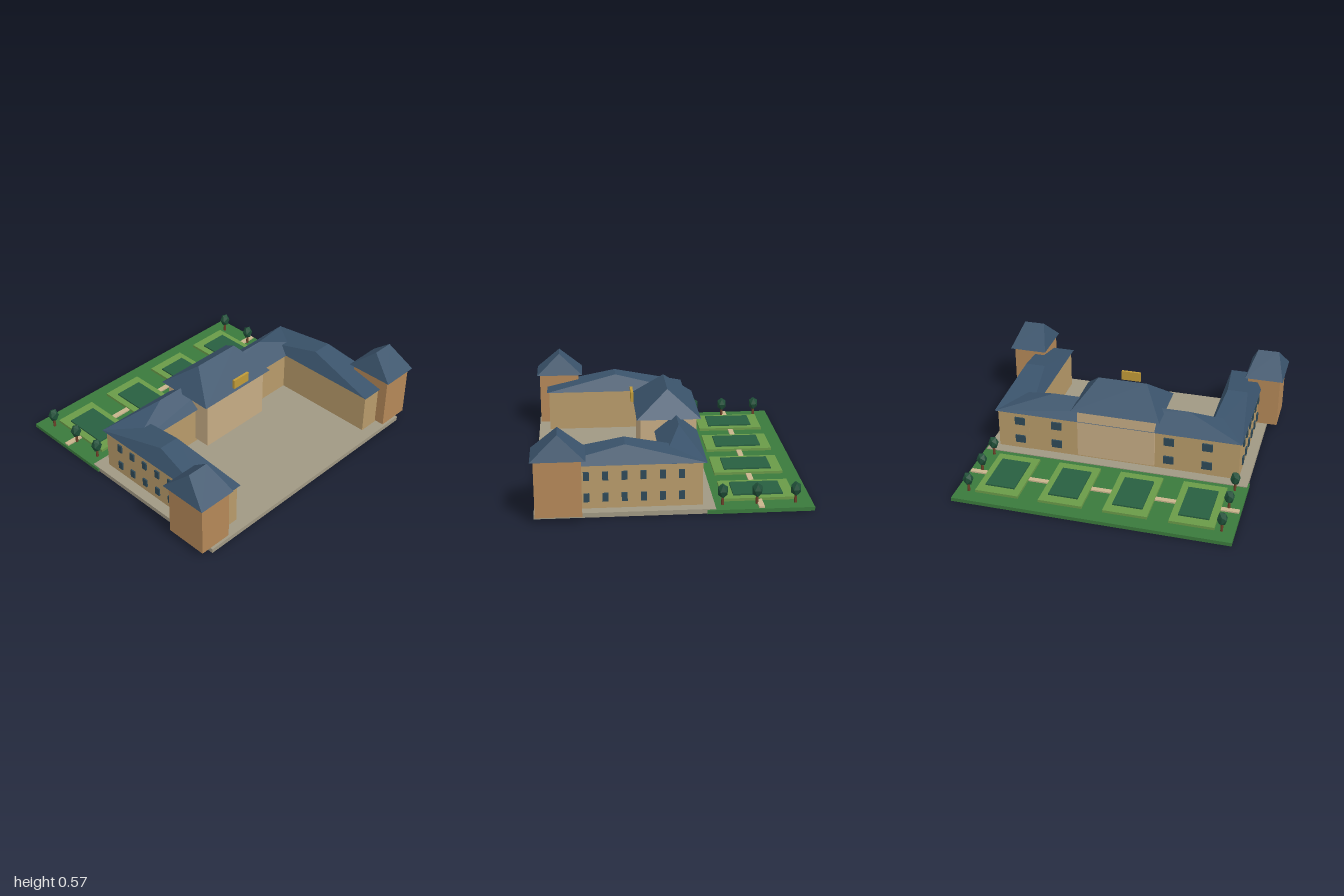
import * as THREE from 'three';

const mat = (color) => new THREE.MeshStandardMaterial({ color, flatShading: true });
const M = {
  roof: mat(0x3a536b), wall: mat(0xb89b6a), pavilion: mat(0xc6ac84), tower: mat(0xb48858),
  glass: mat(0x2f4a58), gold: mat(0xc09a38), paving: mat(0xa09883), lawn: mat(0x3a7a3c),
  bed: mat(0x6a9a48), hedge: mat(0x285f40), path: mat(0xc8b48c), crown: mat(0x1f4f38), trunk: mat(0x6b3f28),
};

export function createModel() {
  const root = new THREE.Group();
  root.name = 'palace';

  const add = (parent, name, geometry, material) => {
    const mesh = new THREE.Mesh(geometry, material);
    mesh.name = name;
    parent.add(mesh);
    return mesh;
  };

  // Box given by its extents along each axis
  const block = (parent, name, material, [x0, x1], [y0, y1], [z0, z1]) => {
    const mesh = add(parent, name, new THREE.BoxGeometry(x1 - x0, y1 - y0, z1 - z0), material);
    mesh.position.set((x0 + x1) / 2, (y0 + y1) / 2, (z0 + z1) / 2);
    return mesh;
  };

  // Hipped roof whose ridge runs along x, 0.55 of the eave width
  const hipRoof = (parent, name, [x0, x1], [y0, y1], [z0, z1]) => {
    const w = (x1 - x0) / 2, d = (z1 - z0) / 2, h = y1 - y0, r = w * 0.55;
    let geo = new THREE.BufferGeometry();
    geo.setAttribute('position', new THREE.Float32BufferAttribute(
      [-w, 0, d, w, 0, d, w, 0, -d, -w, 0, -d, -r, h, 0, r, h, 0], 3));
    geo.setIndex([0, 1, 5, 0, 5, 4, 1, 2, 5, 2, 3, 4, 2, 4, 5, 3, 0, 4, 0, 3, 2, 0, 2, 1]);
    geo = geo.toNonIndexed();
    geo.computeVertexNormals();
    add(parent, name, geo, M.roof).position.set((x0 + x1) / 2, y0, (z0 + z1) / 2);
  };

  // Extents mirrored for the right-hand side
  const side = (s, a, b) => (s > 0 ? [a, b] : [-b, -a]);
  const windowRows = [[0.075, 0.13], [0.215, 0.27]];

  // Ground
  block(root, 'courtyardPaving', M.paving, [-0.905, 0.905], [0, 0.03], [-0.255, 0.853]);
  block(root, 'lawn', M.lawn, [-0.915, 0.915], [0, 0.025], [-0.865, -0.2]);

  // Rear range
  const range = new THREE.Group();
  range.name = 'rearRange';
  root.add(range);
  block(range, 'rangeWalls', M.wall, [-0.83, 0.83], [0.03, 0.311], [-0.177, 0.05]);
  hipRoof(range, 'rangeRoof', [-0.85, 0.85], [0.311, 0.425], [-0.205, 0.075]);
  for (const x of [-0.62, -0.36, 0.42, 0.68])
    for (const y of windowRows)
      block(range, 'rearWindow', M.glass, [x - 0.035, x + 0.035], y, [-0.189, -0.17]);

  // Central pavilion
  const pavilion = new THREE.Group();
  pavilion.name = 'centralPavilion';
  root.add(pavilion);
  block(pavilion, 'pavilionWalls', M.pavilion, [-0.265, 0.265], [0.053, 0.387], [-0.202, 0.165]);
  hipRoof(pavilion, 'pavilionRoof', [-0.303, 0.303], [0.4, 0.567], [-0.227, 0.192]);
  block(pavilion, 'goldPanel', M.gold, [-0.067, 0.067], [0.45, 0.515], [0.2, 0.217]);

  // Side wings and their front towers
  for (const s of [1, -1]) {
    const wing = new THREE.Group();
    wing.name = s > 0 ? 'leftWing' : 'rightWing';
    root.add(wing);
    block(wing, 'wingWalls', M.wall, side(s, 0.617, 0.835), [0.03, 0.311], [-0.18, 0.775]);
    hipRoof(wing, 'wingRoof', side(s, 0.6, 0.85), [0.312, 0.425], [-0.205, 0.79]);
    for (let i = 0; i < 6; i++) {
      const z = -0.05 + i * 0.1165;
      for (const y of windowRows)
        block(wing, 'wingWindow', M.glass, side(s, 0.83, 0.845), y, [z - 0.018, z + 0.018]);
    }
    block(wing, 'towerWalls', M.tower, side(s, 0.755, 0.978), [0.04, 0.397], [0.56, 0.843]);
    hipRoof(wing, 'towerRoof', side(s, 0.737, 1), [0.4, 0.55], [0.533, 0.863]);
  }

  // Formal garden: path, four beds with hedges
  const garden = new THREE.Group();
  garden.name = 'garden';
  root.add(garden);
  block(garden, 'gardenPath', M.path, [-0.905, 0.905], [0.02, 0.035], [-0.555, -0.52]);
  for (let i = 0; i < 4; i++) {
    const x = (i - 1.5) * 0.428;
    block(garden, 'bed', M.bed, [x - 0.145, x + 0.145], [0.02, 0.043], [-0.765, -0.312]);
    block(garden, 'hedge', M.hedge, [x - 0.099, x + 0.099], [0.03, 0.053], [-0.695, -0.382]);
  }

  // Clipped trees
  const crownGeo = new THREE.IcosahedronGeometry(0.036, 0).scale(1, 1.38, 1);
  const trunkGeo = new THREE.CylinderGeometry(0.008, 0.01, 0.06, 6);
  for (const x of [-0.833, 0.833])
    for (const z of [-0.758, -0.517, -0.303]) {
      const tree = new THREE.Group();
      tree.name = 'tree';
      tree.position.set(x, 0, z);
      add(tree, 'treeTrunk', trunkGeo, M.trunk).position.y = 0.053;
      add(tree, 'treeCrown', crownGeo, M.crown).position.y = 0.117;
      garden.add(tree);
    }

  return root;
}
